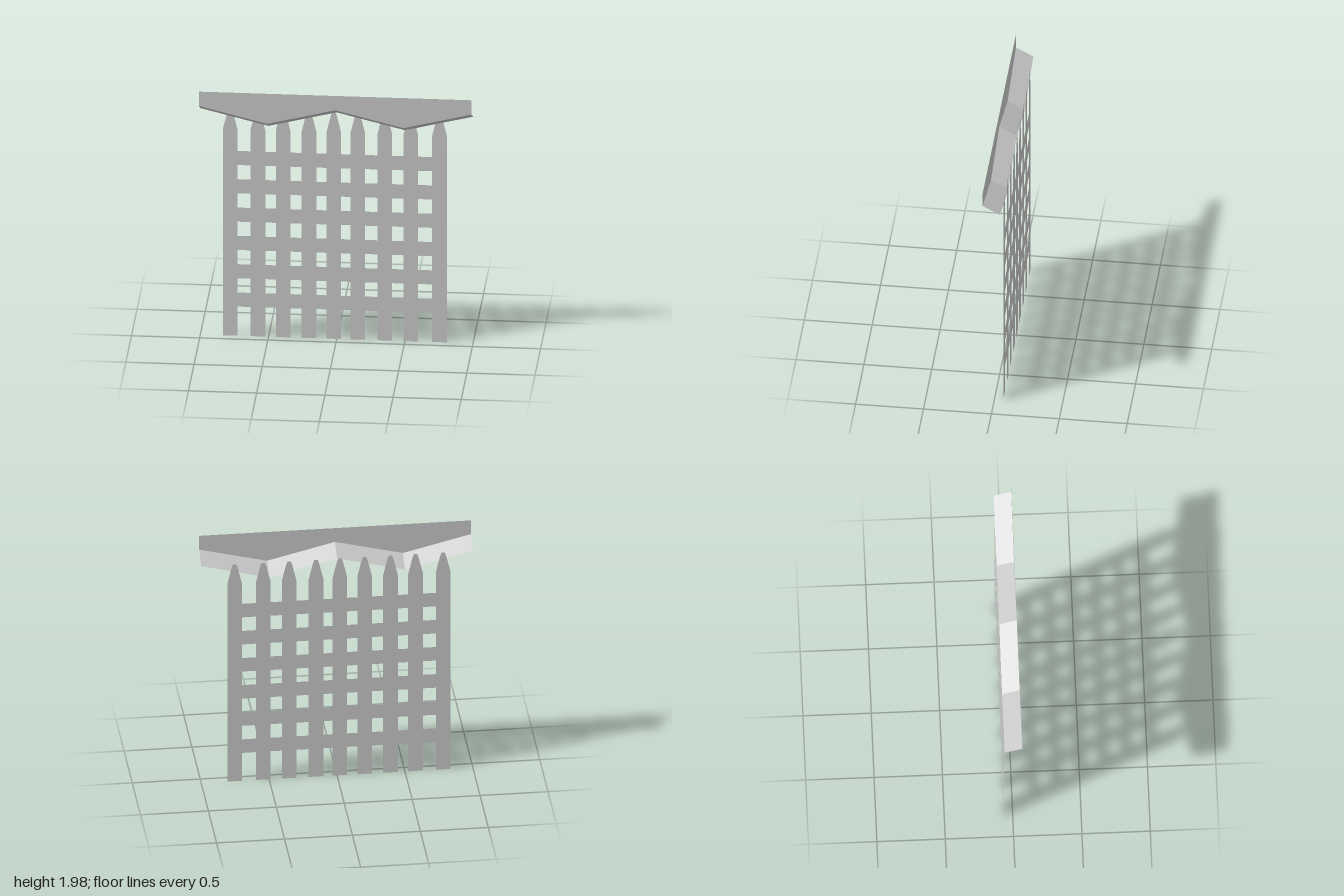
import * as THREE from 'three';

const material = new THREE.MeshStandardMaterial({
  color: 0xcccccc, side: THREE.DoubleSide, flatShading: true,
});

const FRONT = 0.064, BACK = -0.064;
const DROP = 0.07; // how far the sloping trim falls from front to back
const PICKET_W = 0.108;
const PICKETS = [-0.781, -0.578, -0.393, -0.203, -0.021, 0.155, 0.353, 0.543, 0.754];

// Zigzag lower edge of the top board, from left to right
const ZIGZAG = [[-1, 1.866], [-0.5, 1.742], [0, 1.866], [0.5, 1.742], [1, 1.866]];

function addFlat(parent, name, points, z) {
  const shape = new THREE.Shape(points.map(([x, y]) => new THREE.Vector2(x, y)));
  const mesh = new THREE.Mesh(new THREE.ShapeGeometry(shape), material);
  mesh.name = name;
  mesh.position.z = z;
  parent.add(mesh);
  return mesh;
}

// Ribbon joining the board's zigzag edge to a lower copy of it at the back
function slopingTrim() {
  const positions = [], index = [];
  ZIGZAG.forEach(([x, y], i) => {
    positions.push(x, y, FRONT, x, y - DROP, BACK);
    if (i > 0) {
      const a = 2 * (i - 1);
      index.push(a, a + 1, a + 2, a + 1, a + 3, a + 2);
    }
  });
  const geometry = new THREE.BufferGeometry();
  geometry.setAttribute('position', new THREE.Float32BufferAttribute(positions, 3));
  geometry.setIndex(index);
  geometry.computeVertexNormals();
  const mesh = new THREE.Mesh(geometry, material);
  mesh.name = 'slopingTrim';
  return mesh;
}

export function createModel() {
  const model = new THREE.Group();
  model.name = 'latticeFence';

  // Top board and the trim under it
  addFlat(model, 'topBoard', [...ZIGZAG, [1, 1.98], [-1, 1.98]], FRONT);
  model.add(slopingTrim());

  // Upright pickets with tapered, blunted tips
  const h = PICKET_W / 2;
  const outline = [
    [-h, 0], [h, 0], [h, 1.635], [0.023, 1.765], [0.012, 1.795],
    [-0.012, 1.795], [-0.023, 1.765], [-h, 1.635],
  ];
  const pickets = new THREE.Group();
  pickets.name = 'pickets';
  for (const x of PICKETS) addFlat(pickets, 'picket', outline, BACK).position.x = x;
  model.add(pickets);

  // Six rails, filling the gaps between the pickets
  const rails = new THREE.Group();
  rails.name = 'rails';
  for (let row = 0; row < 6; row++) {
    const y0 = 0.231 + row * 0.2245, y1 = y0 + 0.112;
    for (let i = 1; i < PICKETS.length; i++) {
      const x0 = PICKETS[i - 1] + h, x1 = PICKETS[i] - h;
      addFlat(rails, 'railSection', [[x0, y0], [x1, y0], [x1, y1], [x0, y1]], BACK);
    }
  }
  model.add(rails);

  return model;
}
